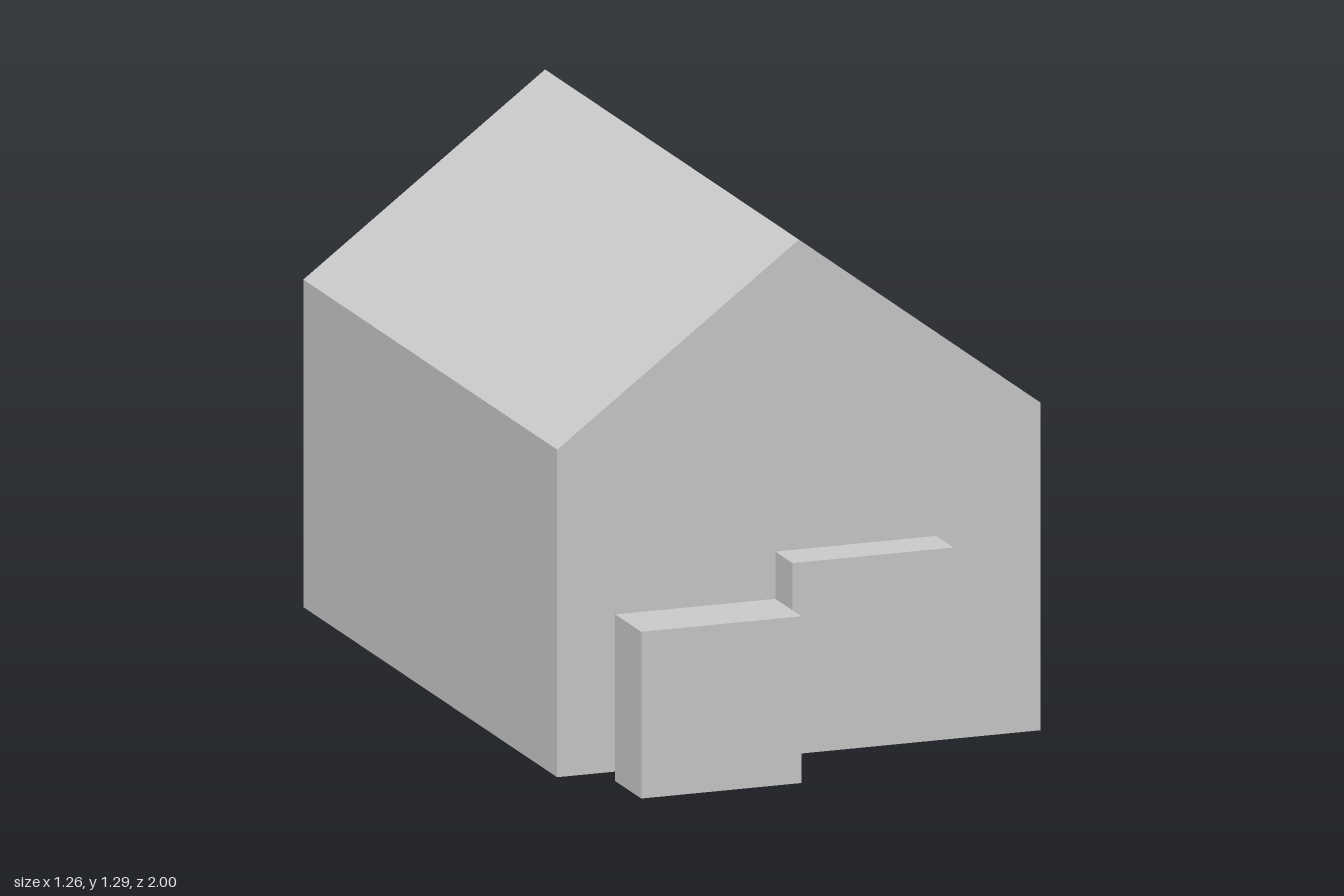
import * as THREE from 'three';

const plaster = new THREE.MeshStandardMaterial({ color: 0xcccccc, side: THREE.DoubleSide });
plaster.name = 'plainGrey';

function add(parent, name, geometry, x = 0, y = 0, z = 0) {
  const mesh = new THREE.Mesh(geometry, plaster);
  mesh.name = name;
  mesh.position.set(x, y, z);
  parent.add(mesh);
  return mesh;
}

// Flat panel spanning profile points p to q over a given depth, facing outward
function panel([px, py], [qx, qy], depth) {
  const h = depth / 2;
  const g = new THREE.BufferGeometry();
  g.setAttribute('position', new THREE.Float32BufferAttribute(
    [px, py, -h, px, py, h, qx, qy, h, qx, qy, -h], 3));
  g.setIndex([0, 1, 2, 0, 2, 3]);
  g.computeVertexNormals();
  return g;
}

// Hollow block without a floor: panels along a symmetric profile plus two end walls
function openBlock(name, profile, names, depth) {
  const group = new THREE.Group();
  group.name = name;
  names.forEach((n, i) => add(group, n, panel(profile[i], profile[i + 1], depth)));
  const end = new THREE.ShapeGeometry(new THREE.Shape(profile.map(p => new THREE.Vector2(...p))));
  add(group, 'frontWall', end, 0, 0, depth / 2);
  add(group, 'backWall', end, 0, 0, -depth / 2).rotation.y = Math.PI;
  return group;
}

export function createModel() {
  const model = new THREE.Group();
  model.name = 'gabledHouse';

  // Main house with a gabled roof
  const w = 0.63, eaves = 0.825, ridge = 1.295;
  const house = openBlock('house',
    [[-w, 0], [-w, eaves], [0, ridge], [w, eaves], [w, 0]],
    ['rightWall', 'rightRoof', 'leftRoof', 'leftWall'], 1.737);
  house.position.z = -0.1315;

  // Low block standing in front
  const b = 0.2085, top = 0.42;
  const block = openBlock('frontBlock',
    [[-b, 0], [-b, top], [b, top], [b, 0]],
    ['rightSide', 'topSide', 'leftSide'], 0.178);
  block.position.set(-0.3025, 0, 0.911);

  model.add(house, block);

  // Raised block beside it
  add(model, 'raisedBlock', new THREE.BoxGeometry(0.42, 0.177, 0.118), 0.116, 0.4505, 0.881);
  return model;
}
